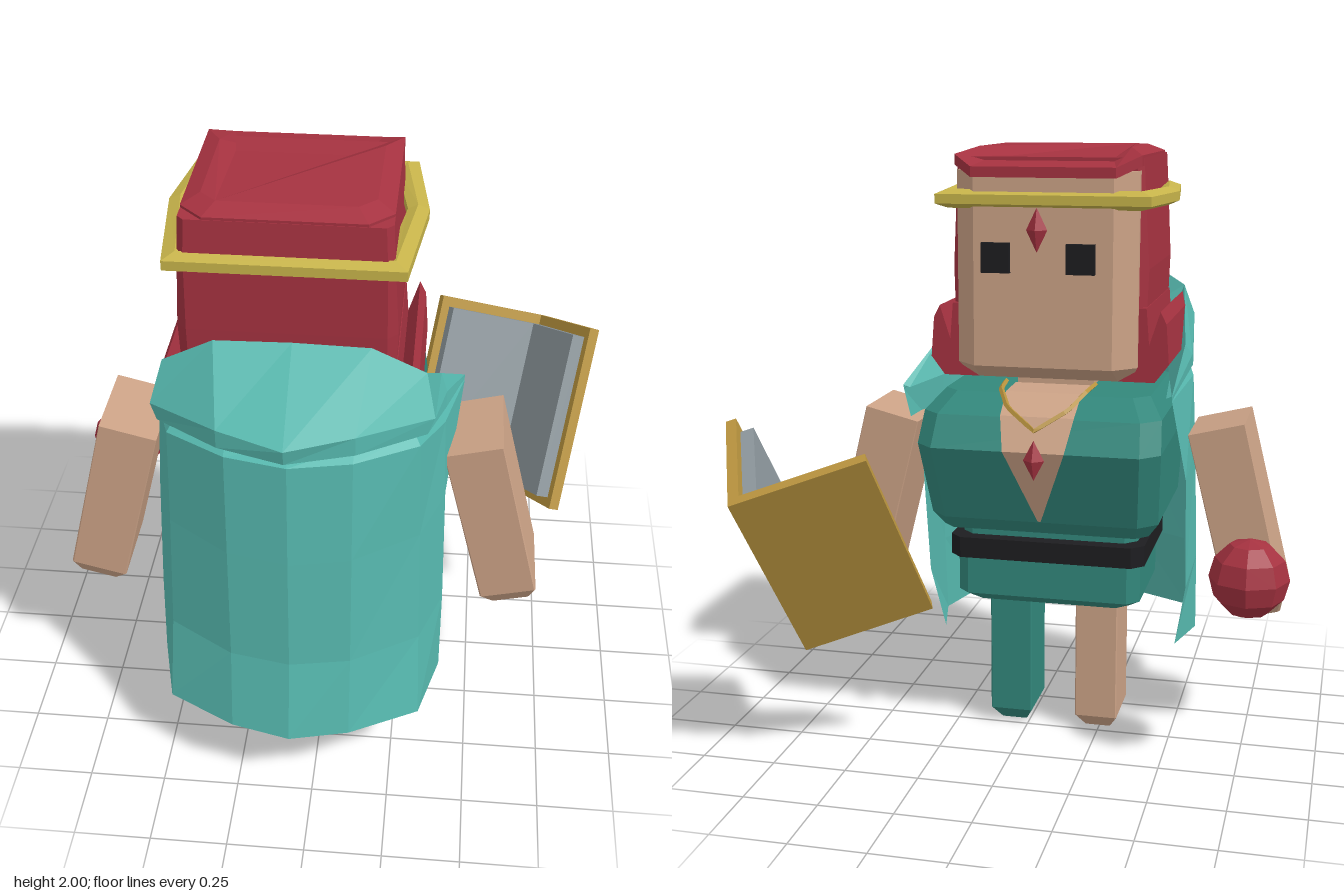
import * as THREE from 'three';

const mat = (name, color, side = THREE.FrontSide) => {
  const m = new THREE.MeshStandardMaterial({ color, side });
  m.name = name;
  return m;
};

// flat-shaded mesh
function part(name, geo, material) {
  const g = geo.index ? geo.toNonIndexed() : geo;
  g.computeVertexNormals();
  const m = new THREE.Mesh(g, material);
  m.name = name;
  return m;
}

// surface through rows of points, optionally closed or capped
function sheet(rows, { wrapCols = false, wrapRows = false, caps = false } = {}) {
  const R = rows.length, C = rows[0].length, idx = [];
  for (let r = 0; r < (wrapRows ? R : R - 1); r++)
    for (let c = 0; c < (wrapCols ? C : C - 1); c++) {
      const a = r * C + c, b = r * C + (c + 1) % C;
      const d = ((r + 1) % R) * C + c, e = ((r + 1) % R) * C + (c + 1) % C;
      idx.push(a, b, e, a, e, d);
    }
  if (caps)
    for (let c = 1; c < C - 1; c++) {
      const t = (R - 1) * C;
      idx.push(0, c + 1, c, t, t + c, t + c + 1);
    }
  const g = new THREE.BufferGeometry();
  g.setAttribute('position', new THREE.Float32BufferAttribute(rows.flat(2), 3));
  g.setIndex(idx);
  return g;
}

// stack of corner-cut rectangles: [y, centreX, halfWidth, zMin, zMax, cornerCut]
function block(rings, frontDrop = 0) {
  return sheet(rings.map(([y, x, w, z0, z1, c]) => [
    [x - w + c, z1], [x + w - c, z1], [x + w, z1 - c], [x + w, z0 + c],
    [x + w - c, z0], [x - w + c, z0], [x - w, z0 + c], [x - w, z1 - c],
  ].map(([px, pz], i) => [px, i === 4 || i === 5 ? y - frontDrop : y, pz])), { wrapCols: true, caps: true });
}

export function createModel() {
  const root = new THREE.Group();
  const skin = mat('skin', 0xcba286);
  const hair = mat('hairRed', 0xa53240);
  const cloth = mat('darkTealCloth', 0x32877b);
  const capeMat = mat('lightTealCape', 0x56b8ae, THREE.DoubleSide);
  const crownMat = mat('crownGold', 0xc6b34a);
  const bookMat = mat('bookGold', 0xb8933e);
  const pageMat = mat('pageGrey', 0x8c969b);
  const black = mat('black', 0x1d1d20);
  const skinSheet = mat('skinPanel', 0xcba286, THREE.DoubleSide);
  const add = (name, geo, m) => { const p = part(name, geo, m); root.add(p); return p; };
  const CX = -0.09, FACE_X = -0.077;

  // head and neck
  add('head', block([[1.26, CX, 0.27, -0.09, 0.4, 0.04], [1.31, CX, 0.295, -0.18, 0.42, 0.07],
    [1.93, CX, 0.295, -0.18, 0.42, 0.07]]), skin);
  add('neck', new THREE.BoxGeometry(0.26, 0.2, 0.22), skin).position.set(CX, 1.2, 0.14);

  // hair: back mass, top cap and upturned side curls
  add('hairBack', block([[1.26, CX, 0.31, -0.09, 0.46, 0.02], [1.62, CX, 0.322, -0.09, 0.47, 0.03],
    [1.86, CX, 0.308, -0.09, 0.47, 0.02], [1.97, CX, 0.302, -0.09, 0.462, 0.02]]), hair);
  add('hairTop', block([[1.945, CX, 0.302, -0.185, 0.46, 0.07], [1.978, CX, 0.302, -0.185, 0.46, 0.07],
    [2.0, CX, 0.25, -0.05, 0.4, 0.05]], 0.035), hair);
  for (const s of [-1, 1]) {
    const pts = [[0.28, 1.5], [0.28, 1.26], [0.35, 1.26], [0.395, 1.32], [0.385, 1.45], [0.365, 1.49], [0.33, 1.38], [0.32, 1.5]];
    const shape = new THREE.Shape(pts.map(([d, y]) => new THREE.Vector2(CX + s * d, y)));
    add('hairCurl', new THREE.ExtrudeGeometry(shape, { depth: 0.54, bevelEnabled: false }), hair).position.z = -0.09;
    add('eye', new THREE.BoxGeometry(0.092, 0.095, 0.02), black).position.set(FACE_X + s * 0.137, 1.66, -0.19);
  }
  const gem = (name, x, y, z, h) => {
    const g = add(name, new THREE.OctahedronGeometry(1), hair);
    g.position.set(x, y, z);
    g.scale.set(0.034, h, 0.028);
  };
  gem('foreheadGem', FACE_X, 1.75, -0.205, 0.07);

  // crown band
  const plan = [[-0.31, 0.315], [0.31, 0.315], [0.355, -0.03], [0.31, -0.315], [-0.31, -0.315], [-0.355, -0.03]];
  const section = [[0, -0.03], [0.035, -0.015], [0.035, 0.015], [0, 0.03], [-0.03, 0.015], [-0.03, -0.015]];
  add('crown', sheet(section.map(([o, dy]) => plan.map(([x, z]) =>
    [CX + x + o * Math.sign(x), 1.842 + dy, 0.15 + z + (Math.abs(z) > 0.1 ? o * Math.sign(z) : 0)])),
  { wrapCols: true, wrapRows: true }), crownMat);

  // torso
  add('chest', block([[0.755, CX, 0.345, -0.16, 0.36, 0.04], [0.805, CX, 0.38, -0.21, 0.4, 0.06],
    [1.06, CX, 0.398, -0.31, 0.4, 0.06], [1.16, CX, 0.39, -0.25, 0.4, 0.06],
    [1.22, CX, 0.34, -0.15, 0.38, 0.05]]), cloth);
  add('waist', block([[0.6, CX, 0.3, -0.09, 0.3, 0.04], [0.78, CX, 0.3, -0.09, 0.3, 0.04]]), cloth);
  add('belt', block([[0.645, CX, 0.33, -0.14, 0.37, 0.04], [0.715, CX, 0.33, -0.14, 0.37, 0.04]]), black);
  add('hips', block([[0.48, CX, 0.27, -0.07, 0.28, 0.04], [0.51, CX, 0.312, -0.11, 0.33, 0.04],
    [0.65, CX, 0.312, -0.11, 0.33, 0.04]]), cloth);

  // open neckline, necklace and pendant
  add('neckline', sheet([[1.226, 0, 0.13], [1.226, -0.156, 0.125], [1.166, -0.257, 0.12], [1.062, -0.317, 0.1],
    [0.81, -0.219, 0.005]].map(([y, z, w]) => [[CX - w, y, z], [CX + w, y, z]])), skinSheet);
  const chain = new THREE.CatmullRomCurve3([[-0.15, 1.24, -0.05], [-0.14, 1.235, -0.16], [-0.1, 1.19, -0.24], [0, 1.13, -0.3],
    [0.1, 1.19, -0.24], [0.14, 1.235, -0.16], [0.15, 1.24, -0.05]]
    .map(([x, y, z]) => new THREE.Vector3(CX + x, y, z)), false, 'catmullrom', 0);
  add('necklace', new THREE.TubeGeometry(chain, 24, 0.009, 4), bookMat);
  gem('pendant', CX - 0.005, 1.04, -0.325, 0.065);

  // legs
  for (const [name, x, m] of [['clothLeg', 0.058, cloth], ['bareLeg', -0.243, skin]])
    add(name, block([[0, x, 0.045, 0.045, 0.17, 0.004], [0.05, x, 0.073, 0, 0.215, 0.004],
      [0.52, x, 0.073, 0, 0.215, 0.004]]), m);

  // arms
  for (const s of [-1, 1]) {
    const arm = add('arm', block([[-0.335, 0, 0.07, -0.115, 0.115, 0.01], [-0.28, 0, 0.095, -0.149, 0.149, 0.005],
      [0.32, 0, 0.095, -0.149, 0.149, 0.002]]), skin);
    arm.position.set(-0.08 + s * 0.632, 0.787, 0.14);
    arm.rotation.z = s * 0.245;
  }

  // cape: half columns [offset, y, z, sideShift] from the middle of the back to the shoulder tip
  const halves = [
    [[0, 0.27, 0.78], [0.19, 0.27, 0.735], [0.41, 0.27, 0.62], [0.47, 0.27, 0.39], [0.42, 0.27, 0.19]],
    [[0, 0.55, 0.725], [0.19, 0.55, 0.69], [0.4, 0.55, 0.56], [0.47, 0.55, 0.36], [0.46, 0.5, 0.14]],
    [[0, 0.95, 0.71], [0.19, 0.95, 0.67], [0.39, 0.95, 0.53], [0.46, 0.95, 0.33], [0.46, 0.9, 0.07]],
    [[0, 1.3, 0.69], [0.19, 1.3, 0.65], [0.38, 1.29, 0.53], [0.45, 1.22, 0.3], [0.46, 1.18, 0.01, 0.045]],
    [[0, 1.33, 0.62], [0.19, 1.33, 0.6], [0.36, 1.32, 0.5], [0.43, 1.25, 0.28], [0.46, 1.185, 0.008, 0.045]],
    [[0, 1.36, 0.75], [0.2, 1.37, 0.7], [0.4, 1.35, 0.55], [0.45, 1.26, 0.28], [0.46, 1.19, 0.005, 0.045]],
    [[0, 1.41, 0.76], [0.2, 1.43, 0.7], [0.42, 1.4, 0.54], [0.45, 1.3, 0.25], [0.46, 1.195, 0.002, 0.045]],
    [[0, 1.61, 0.5], [0.23, 1.605, 0.5], [0.39, 1.51, 0.47], [0.43, 1.34, 0.21], [0.46, 1.2, 0, 0.045]],
    [[0, 1.4, 0.46], [0.22, 1.4, 0.46], [0.33, 1.34, 0.42], [0.38, 1.22, 0.2], [0.44, 1.19, 0.01, 0.045]],
  ];
  add('cape', sheet(halves.map(h => [
    ...h.slice(1).reverse().map(([d, y, z, shift = 0]) => [-0.07 - d + shift, y, z]),
    ...h.map(([d, y, z, shift = 0]) => [-0.07 + d + shift, y, z]),
  ])), capeMat);

  // floating orb
  add('orb', new THREE.SphereGeometry(0.128, 8, 6), hair).position.set(-0.775, 0.68, -0.25);

  // floating open book: spine along local y, covers along local x and z
  const book = new THREE.Group();
  book.name = 'book';
  const W = 0.437, H = 0.655, T = 0.035;
  const X = new THREE.Vector3(0.165, 0.175, 0.37).normalize();
  const Y = new THREE.Vector3(0.11, 0.57, -0.3);
  Y.addScaledVector(X, -Y.dot(X)).normalize();
  book.applyMatrix4(new THREE.Matrix4().makeBasis(X, Y, X.clone().cross(Y)));
  book.position.set(0.632, 0.398, -0.472);
  const slab = (name, size, pos, m) => {
    const p = part(name, new THREE.BoxGeometry(...size), m);
    p.position.set(...pos);
    book.add(p);
  };
  slab('cover', [W, H, T], [W / 2, H / 2, T / 2], bookMat);
  slab('cover', [T, H, W - T], [T / 2, H / 2, (W + T) / 2], bookMat);
  slab('pages', [W - 0.06, H - 0.07, 0.045], [W / 2, H / 2, T + 0.022], pageMat);
  slab('pages', [0.045, H - 0.07, W - 0.11], [T + 0.022, H / 2, W / 2 + 0.025], pageMat);
  root.add(book);

  return root;
}
